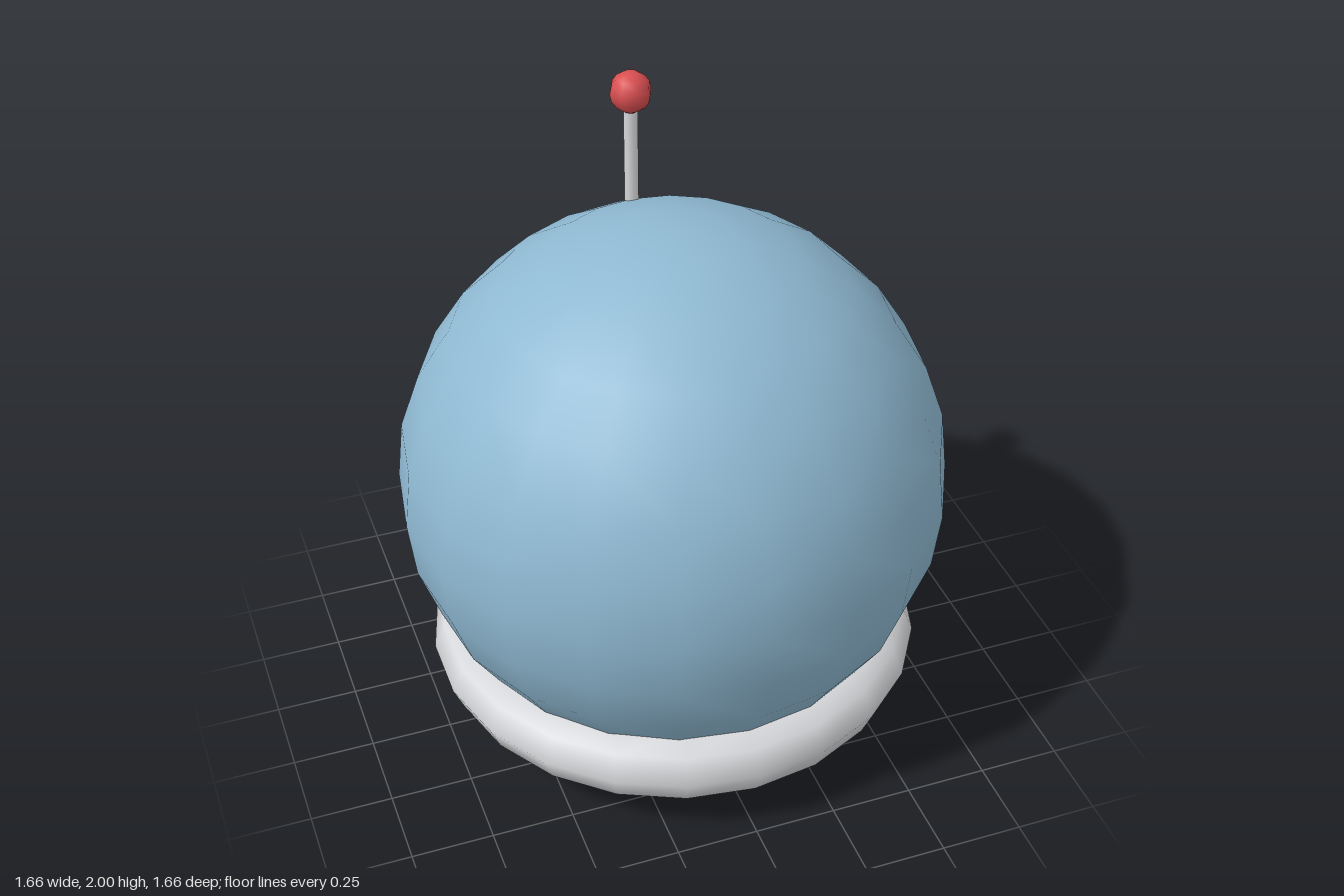
import * as THREE from 'three';

export function createModel() {
  const group = new THREE.Group();
  const material = (name, color) => {
    const m = new THREE.MeshStandardMaterial({ color });
    m.name = name;
    return m;
  };
  const blue = material('pale blue glass', 0x8fb9d2);
  const grey = material('light grey metal', 0xd8d9dc);
  const red = material('red', 0xd94e50);

  const add = (name, geometry, mat, y, z = 0) => {
    const mesh = new THREE.Mesh(geometry, mat);
    mesh.name = name;
    mesh.position.set(0, y, z);
    group.add(mesh);
  };

  // Round helmet bowl
  add('bowl', new THREE.SphereGeometry(0.83, 20, 14), blue, 0.835);

  // Neck ring, lying flat around the lower bowl
  const ring = new THREE.TorusGeometry(0.648, 0.114, 8, 22);
  ring.rotateX(Math.PI / 2).rotateY(Math.PI / 2);
  add('neckRing', ring, grey, 0.248);

  // Antenna set towards the back
  add('antennaRod', new THREE.CylinderGeometry(0.0225, 0.0225, 0.38, 8), grey, 1.74, -0.36);
  add('antennaBall', new THREE.SphereGeometry(0.063, 8, 8), red, 1.937, -0.36);

  return group;
}
